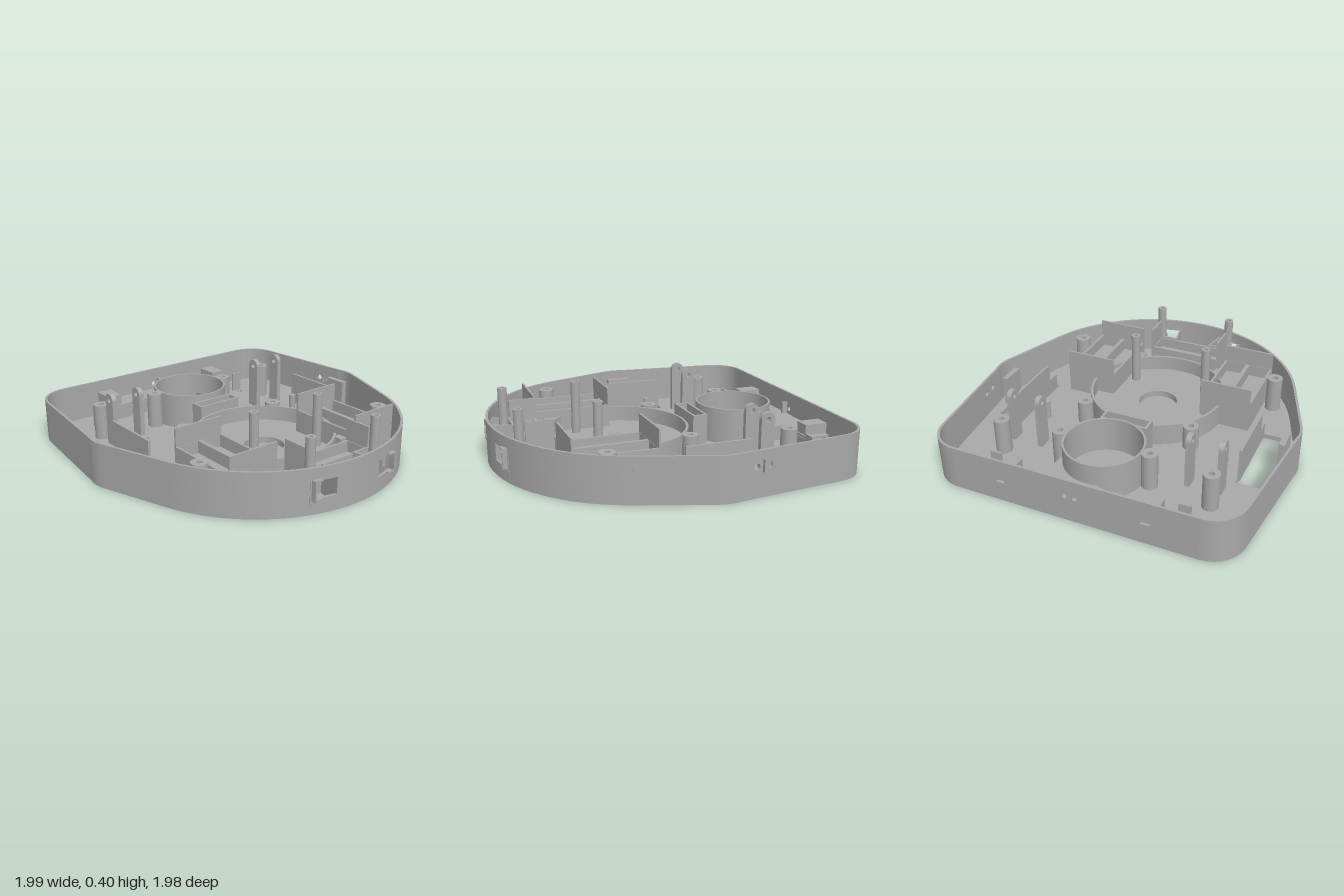
import * as THREE from 'three';
import { toCreasedNormals } from 'three/addons/utils/BufferGeometryUtils.js';

const V = (x, z) => new THREE.Vector2(x, -z); // plan point (x, z)
const T = 0.015, FLOOR = 0.03, RIM = 0.265;

export function createModel() {
  const model = new THREE.Group();
  const grey = new THREE.MeshStandardMaterial({ color: 0xa8a8a8, side: THREE.DoubleSide });
  grey.name = 'grey plastic';

  const add = (name, geo) => {
    const m = new THREE.Mesh(geo, grey);
    m.name = name;
    model.add(m);
    return m;
  };
  const extrude = (shape, depth, curveSegments = 24) =>
    toCreasedNormals(new THREE.ExtrudeGeometry(shape, { depth, bevelEnabled: false, curveSegments }), 0.5);
  // vertical prism over a plan shape
  const prism = (name, shape, y0, y1, seg) =>
    add(name, extrude(shape, y1 - y0, seg).rotateX(-Math.PI / 2).translate(0, y0, 0));
  const box = (name, x0, x1, y0, y1, z0, z1) =>
    add(name, new THREE.BoxGeometry(x1 - x0, y1 - y0, z1 - z0)
      .translate((x0 + x1) / 2, (y0 + y1) / 2, (z0 + z1) / 2));
  const circle = (x, z, r) => new THREE.Path().absarc(x, -z, r, 0, Math.PI * 2);
  const disc = (x, z, r) => new THREE.Shape().absarc(x, -z, r, 0, Math.PI * 2);
  const rect = (x0, x1, z0, z1) => new THREE.Path([V(x0, z0), V(x1, z0), V(x1, z1), V(x0, z1)]);
  const tube = (name, x, z, r, rIn, y0, y1, seg = 24) => {
    const s = disc(x, z, r);
    s.holes.push(circle(x, z, rIn));
    return prism(name, s, y0, y1, seg);
  };
  // four thin walls around a rectangle
  const frame = (name, x0, x1, z0, z1, y0, y1, t = T) => {
    const s = new THREE.Shape(rect(x0, x1, z0, z1).getPoints());
    s.holes.push(rect(x0 + t, x1 - t, z0 + t, z1 - t));
    return prism(name, s, y0, y1);
  };
  const both = (fn) => [1, -1].forEach(fn);
  const mbox = (name, s, x0, x1, ...r) => (s > 0 ? box(name, x0, x1, ...r) : box(name, -x1, -x0, ...r));

  // ---- outline, as [x, z] points of the +x half from back to front
  const curve = (a, c, b, n) => new THREE.QuadraticBezierCurve(
    new THREE.Vector2(...a), new THREE.Vector2(...c), new THREE.Vector2(...b)).getPoints(n).map((p) => [p.x, p.y]);
  const corner = new THREE.CubicBezierCurve(new THREE.Vector2(0.72, -0.99), new THREE.Vector2(0.83, -0.99),
    new THREE.Vector2(0.91, -0.91), new THREE.Vector2(0.92, -0.8)).getPoints(14).map((p) => [p.x, p.y]);
  const hip = [...curve([0.99, -0.14], [1.008, -0.07], [0.98, 0], 8), [0.84, 0.394]];
  const arc = (a, b, n = 40) => Array.from({ length: n + 1 }, (_, i) => {
    const t = a + (b - a) * i / n;
    return [0.89 * Math.sin(t), 0.1 + 0.89 * Math.cos(t)];
  });
  const mirror = (pts) => pts.map(([x, z]) => [-x, z]).reverse();
  const A = 1.234;
  const outline = [...corner, ...hip, ...arc(A, -A, 64).slice(1, -1), ...mirror(hip), ...mirror(corner)];

  // ---- floor with wheel slots, duct slot and small holes
  const floor = new THREE.Shape(outline.map(([x, z]) => V(x, z)));
  both((s) => {
    floor.holes.push(rect(s * 0.71, s * 0.89, -0.36, 0.17));
    floor.holes.push(circle(s * 0.575, -0.835, 0.02), circle(s * 0.575, -0.76, 0.02));
  });
  floor.holes.push(rect(-0.5, 0.5, -0.95, -0.83), circle(0, 0.87, 0.085), rect(-0.07, 0.07, 0.67, 0.77));
  prism('floor', floor, 0, FLOOR);

  // ---- outer wall: curved bands and straight pierced panels
  const band = (name, pts, y0, y1) => {
    const inner = pts.map(([x, z], i) => {
      const a = pts[Math.max(i - 1, 0)], b = pts[Math.min(i + 1, pts.length - 1)];
      const dx = b[0] - a[0], dz = b[1] - a[1], l = Math.hypot(dx, dz);
      return [x - dz / l * T, z + dx / l * T];
    });
    prism(name, new THREE.Shape([...pts, ...inner.reverse()].map(([x, z]) => V(x, z))), y0, y1);
  };
  const panel = (name, p, q, holes) => {
    const dx = q[0] - p[0], dz = q[1] - p[1], l = Math.hypot(dx, dz);
    const s = new THREE.Shape([new THREE.Vector2(0, FLOOR), new THREE.Vector2(l, FLOOR),
      new THREE.Vector2(l, RIM), new THREE.Vector2(0, RIM)]);
    s.holes.push(...holes);
    const m = add(name, extrude(s, T));
    m.position.set(p[0], 0, p[1]);
    m.rotation.y = Math.atan2(-dz, dx);
  };
  const slot = (u, v, w, h) => new THREE.Path([[-1, -1], [1, -1], [1, 1], [-1, 1]]
    .map(([a, b]) => new THREE.Vector2(u + a * w / 2, v + b * h / 2)));
  const port = (u, v, r) => new THREE.Path().absarc(u, v, r, 0, Math.PI * 2);

  panel('backWall', [-0.72, -0.99], [0.72, -0.99],
    [slot(0.29, 0.15, 0.055, 0.055), slot(1.15, 0.15, 0.055, 0.055), port(0.69, 0.16, 0.016), port(0.75, 0.16, 0.016)]);
  panel('leftWall', [0.92, -0.8], [0.99, -0.14],
    [port(0.49, 0.175, 0.018), port(0.57, 0.175, 0.018), slot(0.53, 0.175, 0.008, 0.07)]);
  panel('rightWall', [-0.99, -0.14], [-0.92, -0.8], []);
  for (const c of [corner, mirror(corner), hip, mirror(hip)]) band('wallCorner', c, FLOOR, RIM);
  band('frontWallLower', arc(A, -A), FLOOR, 0.09);
  band('frontWallUpper', arc(A, -A), 0.19, RIM);
  const w0 = Math.asin(0.16 / 0.89), w1 = Math.asin(0.3 / 0.89);
  for (const [a, b] of [[A, w1], [w0, -w0], [-w1, -A]]) band('frontWallMiddle', arc(a, b), 0.09, 0.19);
  box('sideNub', 0.965, 0.985, 0.14, 0.21, -0.285, -0.275);

  // ---- fan ring, open at the back towards the duct
  tube('fanRing', 0, -0.575, 0.237, 0.224, 0.12, 0.25, 48);
  const low = new THREE.Shape();
  low.absarc(0, 0.575, 0.237, Math.PI * 0.58, Math.PI * 2.2, false);
  low.absarc(0, 0.575, 0.224, Math.PI * 2.2, Math.PI * 0.58, true);
  prism('fanRingLower', low, FLOOR, 0.12, 48);
  both((s) => tube('fanLug', s * 0.278, -0.575, 0.048, 0.017, FLOOR, 0.25));

  // ---- suction duct along the back
  box('ductRoof', -0.51, 0.51, 0.11, 0.125, -0.97, -0.82);
  box('ductBackWall', -0.51, 0.51, FLOOR, 0.11, -0.97, -0.955);
  box('ductFrontWallRight', -0.51, -0.17, FLOOR, 0.11, -0.83, -0.815);
  box('ductFrontWallLeft', 0.235, 0.51, FLOOR, 0.11, -0.83, -0.815);
  prism('throatRoof', new THREE.Shape([V(-0.17, -0.85), V(0.24, -0.85), V(0.24, -0.66), V(0.21, -0.67),
    V(0.16, -0.745), V(0.09, -0.79), V(0, -0.81), V(-0.06, -0.8)]), 0.11, 0.125);
  box('throatSide', 0.23, 0.24, FLOOR, 0.11, -0.83, -0.65);
  prism('throatSlant', new THREE.Shape([V(-0.17, -0.83), V(-0.06, -0.8), V(-0.06, -0.79), V(-0.17, -0.82)]), FLOOR, 0.11);
  box('backRib', -0.008, 0.008, 0.125, 0.2, -0.975, -0.94);

  // ---- motor well: raised disc and open ring wall
  tube('motorDisc', 0, 0.2, 0.42, 0.122, FLOOR, 0.07, 56);
  tube('motorRing', 0, 0.2, 0.43, 0.415, FLOOR, 0.165, 56);
  frame('ventBox', -0.15, 0.15, -0.33, -0.235, FLOOR, 0.22);

  // ---- front contact box with raised end plates
  frame('frontBox', -0.24, 0.24, 0.66, 0.82, FLOOR, 0.19);
  box('frontBoxBed', -0.23, 0.23, 0.11, 0.125, 0.67, 0.81);
  box('frontStep', -0.52, -0.24, FLOOR, 0.045, 0.66, 0.78);
  box('frontStep', 0.24, 0.52, FLOOR, 0.045, 0.66, 0.78);

  // ---- caster dome
  add('casterDome', new THREE.SphereGeometry(0.09, 28, 12, 0, Math.PI * 2, 0, Math.PI / 2).translate(0, 0.02, 0.87));

  // ---- bracket upright with rounded, pierced top
  const bracket = new THREE.Shape();
  bracket.moveTo(-0.042, FLOOR).lineTo(0.042, FLOOR).lineTo(0.042, 0.32);
  bracket.absarc(0, 0.32, 0.042, 0, Math.PI, false);
  bracket.holes.push(port(0, 0.32, 0.016));

  both((s) => {
    // battery trays: two bays, bed and tall end plates
    for (const [x0, x1] of [[0.3, 0.46], [0.455, 0.62]]) {
      const [a, b] = s > 0 ? [x0, x1] : [-x1, -x0];
      frame('batteryBay', a, b, 0.16, 0.66, FLOOR, 0.21);
      box('batteryBed', a, b, 0.12, 0.135, 0.165, 0.655);
    }
    mbox('batteryPlate', s, 0.3, 0.62, FLOOR, 0.32, 0.16, 0.173);
    mbox('batteryPlate', s, 0.3, 0.62, FLOOR, 0.32, 0.647, 0.66);
    mbox('batteryTab', s, 0.255, 0.3, FLOOR, 0.165, 0.53, 0.595);
    mbox('frontBoxPlate', s, 0.23, 0.243, FLOOR, 0.32, 0.655, 0.82);

    // posts and screw bosses
    for (const z of [0.4, 0.855]) tube('tallPost', s * 0.245, z, 0.028, 0.013, FLOOR, 0.4);
    for (const [x, z, h] of [[0.65, -0.61, 0.25], [0.685, 0.485, 0.25], [0.352, -0.13, 0.175]])
      tube('screwBoss', s * x, z, 0.048, 0.017, FLOOR, h);
    prism('pin', disc(s * 0.592, -0.2, 0.022), FLOOR, 0.15);

    // wheel brackets
    for (const x of [0.472, 0.66]) {
      const m = add('wheelBracket', extrude(bracket, 0.03));
      m.rotation.y = Math.PI / 2;
      m.position.set(s * x - 0.015, 0, -0.46);
    }

    // wheel well plates
    mbox('wheelPlate', s, 0.715, 0.73, FLOOR, 0.24, -0.34, 0.06);
    mbox('wheelPlateLow', s, 0.715, 0.73, FLOOR, 0.13, 0.06, 0.145);
    mbox('wheelStop', s, 0.892, 0.927, FLOOR, 0.22, -0.17, -0.02);

    // rear sensor housings and clips
    mbox('rearSensor', s, 0.38, 0.475, 0.12, 0.19, -0.975, -0.83);
    mbox('ductEnd', s, 0.5, 0.535, FLOOR, 0.11, -0.92, -0.84);
    mbox('rearClip', s, 0.54, 0.61, FLOOR, 0.16, -0.805, -0.79);

    // front sensor housing behind each window
    const side = (a, b) => prism('sensorSide', new THREE.Shape([V(s * a[0], a[1]), V(s * (a[0] + 0.012), a[1]),
      V(s * (b[0] + 0.012), b[1]), V(s * b[0], b[1])]), FLOOR, 0.2);
    side([0.115, 0.82], [0.145, 0.965]);
    side([0.28, 0.82], [0.303, 0.935]);
    mbox('sensorBack', s, 0.115, 0.29, FLOOR, 0.2, 0.815, 0.827);
    mbox('sensorLens', s, 0.235, 0.265, 0.11, 0.17, 0.88, 0.93);
    // window bezel
    mbox('windowBezel', s, 0.295, 0.305, 0.08, 0.2, 0.925, 0.965);
    mbox('windowBezel', s, 0.25, 0.305, 0.19, 0.2, 0.93, 0.965);
    mbox('windowBezel', s, 0.25, 0.305, 0.08, 0.09, 0.93, 0.965);
  });
  return model;
}
